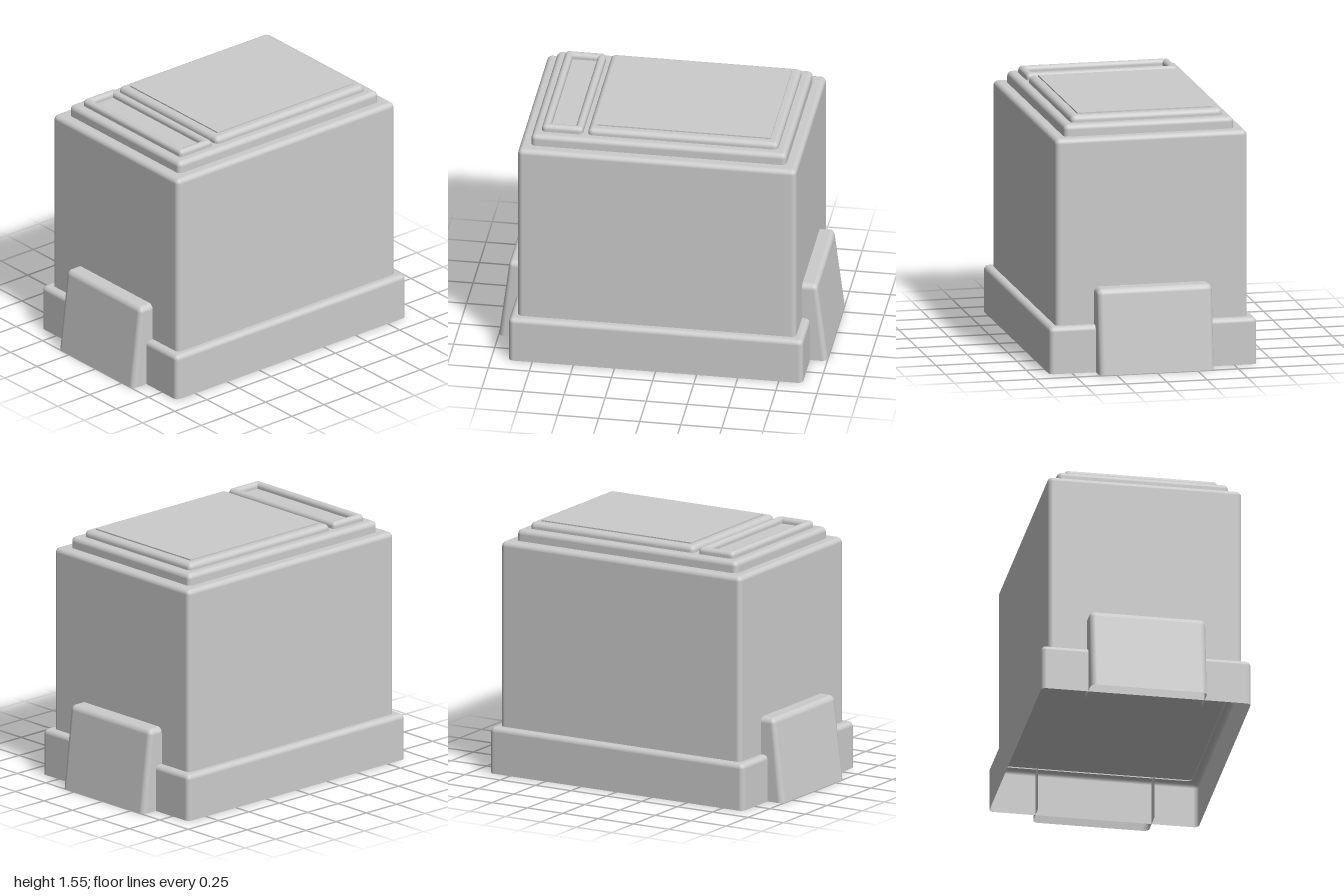
import * as THREE from 'three';

const SEG = 6;
const material = new THREE.MeshStandardMaterial({ color: 0xcccccc, side: THREE.DoubleSide });

// Quarter-round profile of rings [offset from core, y, outward normal, upward normal]
function roundedRings(y0, y1, r) {
  const rings = [[r, y0, 1, 0]];
  for (let i = 0; i <= SEG; i++) {
    const a = (i / SEG) * Math.PI / 2;
    const c = i === SEG ? 0 : Math.cos(a);
    rings.push([r * c, y1 - r + r * Math.sin(a), c, Math.sin(a)]);
  }
  return rings;
}

// Rounded-rectangle shell lofted through rings, open below, capped on the last ring.
// half: keep only the +x side, open towards the middle.
function shell(hx, hz, r, rings, half = false) {
  const outline = [];
  const corners = half ? [[1, -1, -1], [1, 1, 0]] : [[1, 1, 0], [-1, 1, 1], [-1, -1, 2], [1, -1, 3]];
  if (half) outline.push([0, -1, -Math.PI / 2]);
  for (const [sx, sz, q] of corners)
    for (let i = 0; i <= SEG; i++) outline.push([sx, sz, (q + i / SEG) * Math.PI / 2]);
  if (half) outline.push([0, 1, Math.PI / 2]);
  else outline.push(outline[0]);

  const pos = [], nor = [], idx = [], n = outline.length;
  const addRing = ([d, y, nOut, nUp]) => {
    const round = Math.max(d, 0), shrink = Math.min(d, 0);
    for (const [sx, sz, a] of outline) {
      const c = Math.cos(a), s = Math.sin(a);
      pos.push(sx * (hx - r + shrink) + c * round, y, sz * (hz - r + shrink) + s * round);
      nor.push(c * nOut, nUp, s * nOut);
    }
  };
  rings.forEach(addRing);
  for (let k = 0; k < rings.length - 1; k++)
    for (let i = 0; i < n - 1; i++) {
      const a = k * n + i, b = a + 1, c = a + n, d = c + 1;
      idx.push(a, c, b, b, c, d);
    }
  // Flat cap
  const [d, y] = rings[rings.length - 1];
  const start = pos.length / 3;
  addRing([d, y, 0, 1]);
  const centre = pos.length / 3;
  pos.push(0, y, 0);
  nor.push(0, 1, 0);
  for (let i = 0; i < n - 1; i++) idx.push(centre, start + i + 1, start + i);

  const g = new THREE.BufferGeometry();
  g.setAttribute('position', new THREE.Float32BufferAttribute(pos, 3));
  g.setAttribute('normal', new THREE.Float32BufferAttribute(nor, 3));
  g.setIndex(idx);
  return g;
}

export function createModel() {
  const model = new THREE.Group();
  const add = (name, geometry, x = 0) => {
    const mesh = new THREE.Mesh(geometry, material);
    mesh.name = name;
    mesh.position.x = x;
    model.add(mesh);
  };
  const block = (name, x0, x1, hz, y0, y1, r) =>
    add(name, shell((x1 - x0) / 2, hz, r, roundedRings(y0, y1, r)), (x0 + x1) / 2);

  // Stacked housing, from hollow skirt to lid
  block('baseSkirt', -0.895, 0.895, 0.64, 0, 0.287, 0.03);
  block('body', -0.847, 0.847, 0.592, 0.28, 1.432, 0.03);
  block('lidStep', -0.777, 0.777, 0.523, 1.425, 1.502, 0.03);
  block('topPanel', -0.44, 0.718, 0.467, 1.495, 1.543, 0.03);
  add('topPlate', new THREE.BoxGeometry(1.055, 0.012, 0.83).translate(0, 1.545, 0), 0.137);

  // Narrow tray with a rounded rim and a sunken floor
  const r = 0.025, top = 1.543, floor = 1.507;
  const rings = roundedRings(1.495, top, r);
  for (let i = 0; i <= SEG; i++) {
    const a = (i / SEG) * Math.PI / 2;
    rings.push([-r * Math.sin(a), top - r + r * Math.cos(a), -Math.sin(a), Math.cos(a)]);
  }
  rings.push([-r, floor, -1, 0]);
  add('tray', shell(0.125, 0.467, r, rings), -0.595);

  // Hollow side feet with a sloping outer face, open inwards and below
  const depth = 0.2, slope = 0.125;
  for (const side of [1, -1]) {
    const g = shell(depth, 0.355, 0.035, roundedRings(0, 0.517, 0.035), true);
    const p = g.attributes.position, nm = g.attributes.normal;
    for (let i = 0; i < p.count; i++) {
      p.setX(i, p.getX(i) * (1 - slope * p.getY(i) / depth));
      const v = new THREE.Vector3().fromBufferAttribute(nm, i);
      v.y += slope * v.x;
      v.normalize();
      nm.setXYZ(i, v.x, v.y, v.z);
    }
    if (side < 0) g.rotateY(Math.PI);
    add(side > 0 ? 'leftFoot' : 'rightFoot', g, side * 0.8);
  }
  return model;
}
